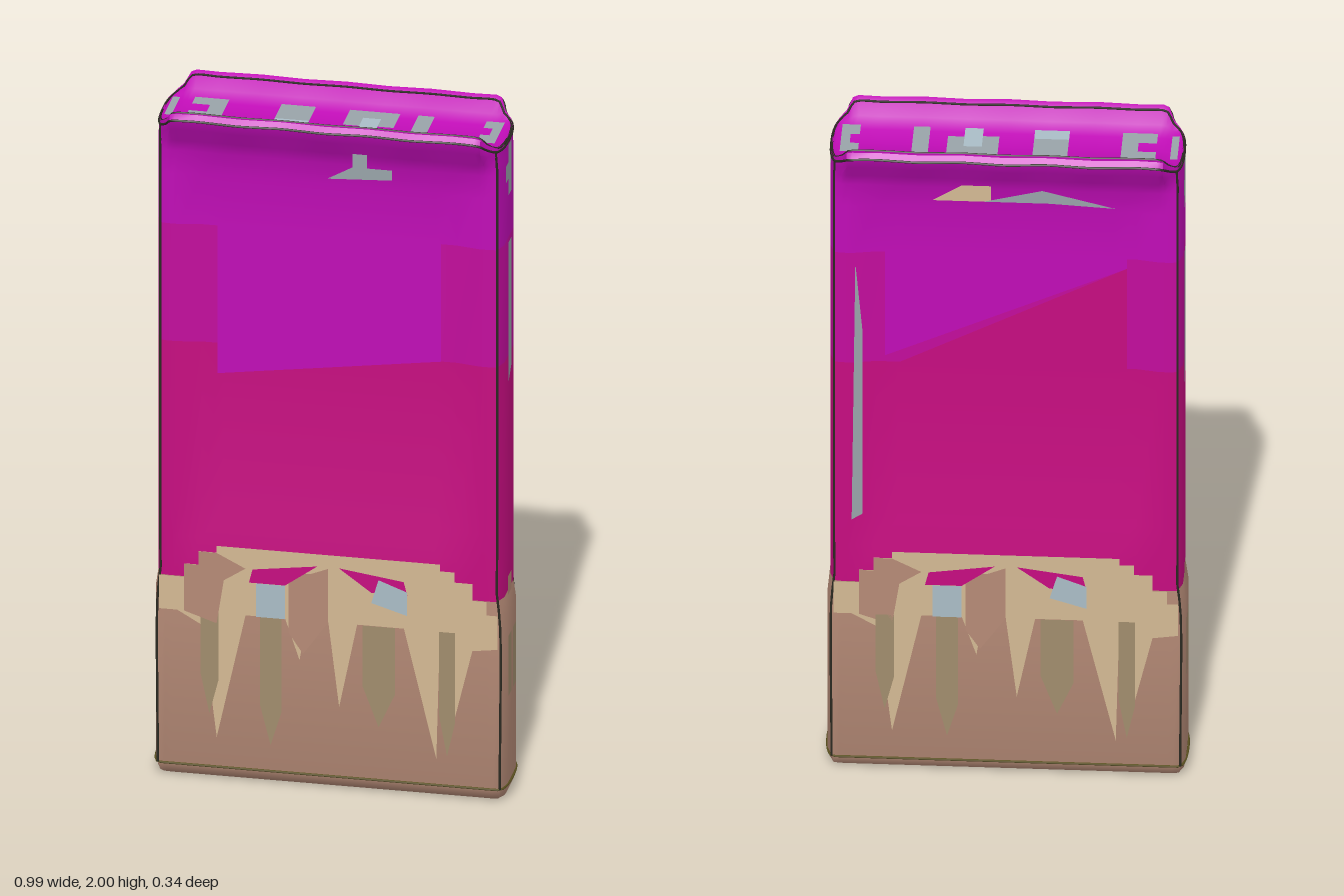
import * as THREE from 'three';
import { toCreasedNormals } from 'three/addons/utils/BufferGeometryUtils.js';

const PURPLE = 0xc00cb6, VIOLET = 0xc20c9c, PINK = 0xc60c80;
const TAN = 0xb58a76, CREAM = 0xd3b993, OLIVE = 0xa08c6c, GREY = 0x98a3a8, BLUE = 0xa9bcc6;
const OUTLINE = 0x2c2b22, OLIVE_EDGE = 0x5c5220;

// Outline stations along the width: [x, depth scale, rim flare, panel recess]
const half = [
  [0, 1, 1, 1], [0.06, 1, 1, 1], [0.12, 1, 1, 1], [0.18, 1, 1, 1], [0.24, 1, 1, 1], [0.3, 1, 1, 1],
  [0.36, 1, 1, 1], [0.425, 1, 1, 0], [0.44, 1, 0.9, 0], [0.455, 1, 0.4, 0], [0.475, 0.97, 0.1, 0], [0.488, 0.6, 0, 0],
];
const front = [...half.slice(1).reverse().map(([x, ...r]) => [-x, ...r]), ...half].map(s => [...s, 1]);
const ring = [...front, ...front.map(([x, s, f, g]) => [-x, s, f, g, -1])];

// Profile rows from bottom to valley: [y, z, flare out, flare up, recess, width scale]
const rows = [
  [0, 0, 0, 0, 0, 0.975], [0, 0.07, 0, 0, 0, 0.975], [0.012, 0.088, 0, 0, 0, 0.99], [0.04, 0.1, 0, 0, 0, 1],
  [0.55, 0.1, 0, 0, 0, 1], [0.6, 0.1, 0, 0, 0, 0.985],
  [0.72, 0.102, 0, 0, 0, 0.985], [0.8, 0.102, 0, 0, 1, 0.985], [1.3, 0.102, 0, 0, 1, 0.985],
  [1.65, 0.102, 0, 0, 1, 0.985],
  [1.8, 0.102, 0, 0, 1, 0.985], [1.87, 0.102, 0, 0, 0, 0.985], [1.9, 0.102, 0.012, 0.005, 0, 0.985],
  [1.925, 0.102, 0.052, 0.03, 0, 0.98], [1.94, 0.102, 0.062, 0.045, 0, 0.98], [1.95, 0.1, 0.05, 0.05, 0, 0.98],
  [1.948, 0.097, 0.033, 0.046, 0, 0.975], [1.945, 0.085, 0.015, 0.02, 0, 0.97],
  [1.943, 0.06, 0, 0.004, 0, 0.965], [1.941, 0, 0, 0, 0, 0.96],
];

function bodyPoint([y, z, out, up, rec, w], [x, s, f, g, side]) {
  const ripple = 1 + 0.06 * Math.cos(x * 26);
  return new THREE.Vector3(x * w, y + up * f, side * (z * s + out * f * ripple - 0.012 * rec * g));
}

export function createModel() {
  const model = new THREE.Group();

  function add(name, geometry, color, parent = model) {
    const mesh = new THREE.Mesh(geometry, new THREE.MeshStandardMaterial({ color, side: THREE.DoubleSide }));
    mesh.name = name;
    parent.add(mesh);
    return mesh;
  }

  // Closed band of the body between two profile rows
  function band(name, from, to, color) {
    const pos = [], index = [], n = ring.length;
    for (let i = from; i <= to; i++) for (const st of ring) pos.push(...bodyPoint(rows[i], st).toArray());
    for (let i = 0; i < to - from; i++) for (let j = 0; j < n; j++) {
      const a = i * n + j, b = i * n + (j + 1) % n;
      index.push(a, b, b + n, a, b + n, a + n);
    }
    const g = new THREE.BufferGeometry();
    g.setAttribute('position', new THREE.Float32BufferAttribute(pos, 3));
    g.setIndex(index);
    add(name, toCreasedNormals(g, 0.7), color);
  }
  band('lowerBody', 0, 5, TAN);
  band('pinkBody', 5, 8, PINK);
  band('middleBody', 8, 9, VIOLET);
  band('upperBodyAndRim', 9, rows.length - 1, PURPLE);

  // Thin flat colour patches
  function patch(parent, name, color, pts, z) {
    const shape = new THREE.Shape(pts.map(p => new THREE.Vector2(...p)));
    add(name, new THREE.ShapeGeometry(shape), color, parent).position.z = z;
  }
  const rect = (x0, y0, x1, y1) => [[x0, y0], [x1, y0], [x1, y1], [x0, y1]];

  // Ragged edge and drips, repeated on both faces
  function raggedFace(name) {
    const face = new THREE.Group();
    face.name = name;
    model.add(face);
    patch(face, 'raggedEdge', CREAM, [
      [-0.47, 0.5], [-0.42, 0.5], [-0.35, 0.46], [-0.31, 0.13], [-0.23, 0.5], [-0.12, 0.5], [-0.08, 0.38],
      [-0.06, 0.5], [0, 0.5], [0.03, 0.25], [0.08, 0.5], [0.21, 0.5], [0.3, 0.12], [0.31, 0.5], [0.35, 0.24],
      [0.4, 0.45], [0.47, 0.46], [0.47, 0.56], [0.44, 0.56], [0.44, 0.6], [0.4, 0.6], [0.4, 0.65],
      [0.35, 0.65], [0.35, 0.68], [0.31, 0.68], [0.31, 0.7], [-0.31, 0.7], [-0.31, 0.68], [-0.36, 0.68],
      [-0.36, 0.64], [-0.4, 0.64], [-0.4, 0.6], [-0.47, 0.6],
    ], 0.104);
    patch(face, 'tanPatch', TAN, [[-0.4, 0.5], [-0.31, 0.47], [-0.29, 0.6], [-0.23, 0.64], [-0.31, 0.68], [-0.36, 0.68], [-0.36, 0.64], [-0.4, 0.64]], 0.106);
    patch(face, 'tanPatch', TAN, [[-0.11, 0.46], [-0.07, 0.4], [0, 0.5], [0, 0.66], [-0.05, 0.64], [-0.11, 0.64]], 0.106);
    for (const s of [-1, 1]) {
      patch(face, 'pinkWindow', PINK, [[s * 0.03, 0.665], [s * 0.21, 0.64], [s * 0.22, 0.6], [s * 0.12, 0.6]], 0.107);
      patch(face, 'bluePatch', BLUE, s < 0 ? rect(-0.2, 0.5, -0.12, 0.6) : [[0.12, 0.57], [0.22, 0.54], [0.22, 0.61], [0.14, 0.64]], 0.108);
    }
    for (const [x, w, y] of [[-0.33, 0.025, 0.2], [-0.16, 0.03, 0.12], [0.14, 0.045, 0.2], [0.33, 0.022, 0.13]])
      patch(face, 'oliveDrip', OLIVE, [[x - w, 0.5], [x - w, y + 0.12], [x, y], [x + w, y + 0.1], [x + w, 0.5]], 0.106);
    return face;
  }
  const frontFace = raggedFace('frontFace');
  patch(frontFace, 'purplePanel', PURPLE, [[-0.31, 1.21], [0.31, 1.3], [0.31, 1.66], [-0.31, 1.66]], 0.0915);
  patch(frontFace, 'greyPatch', GREY, [[0, 1.83], [0.18, 1.84], [0.18, 1.87], [0.11, 1.87], [0.11, 1.91], [0.07, 1.91], [0.07, 1.87]], 0.118);

  const backFace = raggedFace('backFace');
  backFace.rotation.y = Math.PI;
  patch(backFace, 'purplePanel', PURPLE, [[-0.33, 1.32], [0.33, 1.62], [0.33, 1.66], [-0.33, 1.66]], 0.0915);
  patch(backFace, 'pinkPanel', PINK, [[-0.31, 1.29], [0.33, 1.29], [0.33, 1.62]], 0.0912);
  patch(backFace, 'greyPatch', GREY, [[-0.06, 1.83], [0.1, 1.87], [0.3, 1.82], [0.12, 1.83]], 0.107);
  patch(backFace, 'tanPatch', CREAM, [[-0.2, 1.83], [-0.04, 1.83], [-0.04, 1.88], [-0.12, 1.88]], 0.107);
  patch(backFace, 'greySliver', GREY, [[-0.42, 0.8], [-0.39, 0.82], [-0.39, 1.4], [-0.41, 1.62]], 0.1045);

  // Narrow ends
  for (const s of [-1, 1]) {
    const end = new THREE.Group();
    end.name = s > 0 ? 'leftEnd' : 'rightEnd';
    end.rotation.y = s * Math.PI / 2;
    model.add(end);
    patch(end, 'tanTab', TAN, rect(-0.025, 0.59, 0.025, 0.645), 0.483);
    patch(end, 'greyStrip', GREY, [[-0.022, 1.22], [0.022, 1.26], [0.022, 1.64], [-0.022, 1.64]], 0.483);
    patch(end, 'greyPatch', GREY, rect(-0.022, 1.78, 0.022, 1.93), 0.483);
    patch(end, 'greyPatch', GREY, rect(-0.055, 1.83, -0.022, 1.88), 0.483);
    for (const z of [-1, 1])
      patch(end, 'oliveDrip', OLIVE, rect(z * 0.03 - 0.02, 0.3, z * 0.03 + 0.02, 0.48), 0.4895);
  }

  // Blocks on the floor of the rim valley: [x0, z0, x1, z1, colour]
  const valley = new THREE.Group();
  valley.name = 'valleyPatches';
  valley.rotation.x = -Math.PI / 2;
  model.add(valley);
  for (const [x0, z0, x1, z1, color] of [
    [-0.405, -0.07, -0.31, -0.025, GREY], [-0.355, -0.025, -0.31, 0.02, GREY], [-0.405, 0.02, -0.31, 0.07, GREY],
    [-0.165, -0.07, -0.07, 0.025, GREY], [-0.165, 0.025, -0.07, 0.07, BLUE],
    [0.025, -0.07, 0.165, -0.025, GREY], [0.025, -0.025, 0.07, 0.03, GREY], [0.12, -0.025, 0.165, 0.025, GREY],
    [0.07, -0.025, 0.12, 0.07, BLUE], [0.215, -0.07, 0.26, 0.07, GREY],
    [0.405, -0.07, 0.455, -0.025, GREY], [0.43, -0.025, 0.455, 0.02, GREY], [0.405, 0.02, 0.455, 0.07, GREY],
    [-0.465, -0.06, -0.445, 0.06, GREY],
  ]) patch(valley, 'valleyPatch', color, rect(x0, -z1, x1, -z0), 1.955);

  // Outline seams that follow the body surface
  function seam(name, pts, color, closed = false) {
    const curve = new THREE.CatmullRomCurve3(pts, closed, 'centripetal');
    add(name, new THREE.TubeGeometry(curve, pts.length * 3, 0.0035, 5, closed), color);
  }
  seam('bottomSeam', ring.map(st => bodyPoint(rows[3], st)), OLIVE_EDGE, true);
  seam('rimOuterSeam', ring.map(st => bodyPoint(rows[14], st)), OUTLINE, true);
  seam('rimInnerSeam', ring.map(st => bodyPoint(rows[16], st)), OUTLINE, true);
  for (const sx of [-1, 1]) for (const sz of [-1, 1]) {
    const corner = [sx * 0.475, 0.97, 0.1, 0, sz];
    seam('cornerSeam', rows.slice(3, 15).map(r => bodyPoint(r, corner)), OUTLINE);
  }
  return model;
}
